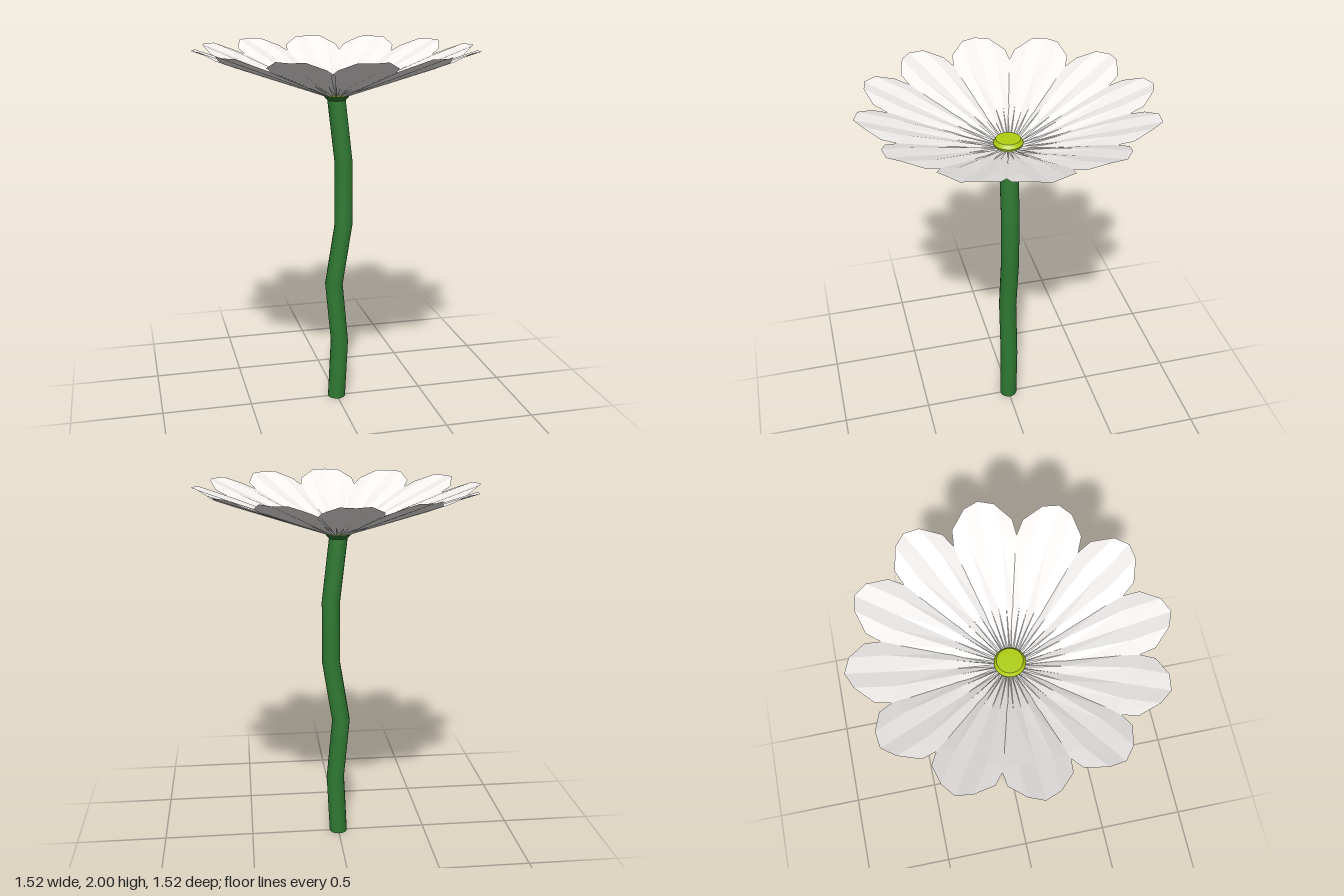
import * as THREE from 'three';
import { toCreasedNormals } from 'three/addons/utils/BufferGeometryUtils.js';

const green = new THREE.MeshStandardMaterial({ color: 0x2f7a33 });
const yellow = new THREE.MeshStandardMaterial({ color: 0xb0d010 });
const white = new THREE.MeshStandardMaterial({ color: 0xf4f1ef, flatShading: true, side: THREE.DoubleSide });

function addMesh(parent, name, geometry, material) {
  const mesh = new THREE.Mesh(geometry, material);
  mesh.name = name;
  parent.add(mesh);
  return mesh;
}

// Stem: a cylinder whose rings are shifted sideways
function stemGeometry() {
  const height = 1.725;
  const shifts = [0, 0.017, -0.015, 0.04, 0.04, 0];
  const geometry = new THREE.CylinderGeometry(0.05, 0.05, height, 16, 5);
  geometry.translate(0, height / 2, 0);
  const pos = geometry.attributes.position;
  for (let i = 0; i < pos.count; i++) {
    const ring = Math.round((pos.getY(i) / height) * 5);
    pos.setX(i, pos.getX(i) + shifts[ring]);
  }
  return toCreasedNormals(geometry, 0.5);
}

// Petal: a pleated strip along +z, five columns wide, rising outwards
function petalGeometry() {
  const columns = [-1, -0.5, 0, 0.5, 1];
  // Each row: reach at centre, at the ridges, at the edges, and half width
  const rows = [
    [0.05, 0.05, 0.05, 0.014],
    [0.27, 0.27, 0.265, 0.078],
    [0.56, 0.56, 0.55, 0.158],
    [0.76, 0.73, 0.652, 0.148],
  ];
  const vertices = [];
  const indices = [];
  rows.forEach(([centre, ridge, edge, halfWidth]) => {
    columns.forEach((c) => {
      const reach = [centre, ridge, edge][Math.abs(c) * 2];
      const pleat = Math.abs(c) === 0.5 ? 0.011 : 0;
      vertices.push(c * halfWidth, 1.742 + (reach - 0.05) * 0.363 + pleat, reach);
    });
  });
  for (let r = 0; r < rows.length - 1; r++) {
    for (let c = 0; c < 4; c++) {
      const a = r * 5 + c;
      indices.push(a, a + 5, a + 6, a, a + 6, a + 1);
    }
  }
  const geometry = new THREE.BufferGeometry();
  geometry.setAttribute('position', new THREE.Float32BufferAttribute(vertices, 3));
  geometry.setIndex(indices);
  geometry.computeVertexNormals();
  return geometry;
}

export function createModel() {
  const flower = new THREE.Group();
  flower.name = 'flower';

  addMesh(flower, 'stem', stemGeometry(), green);

  // Flared cup between stem and petals
  const cup = new THREE.CylinderGeometry(0.072, 0.05, 0.025, 16);
  cup.translate(0, 1.7375, 0);
  addMesh(flower, 'cup', cup, green);

  // Ring of twelve petals
  const petals = new THREE.Group();
  petals.name = 'petals';
  const petal = petalGeometry();
  for (let i = 0; i < 12; i++) {
    addMesh(petals, 'petal', petal, white).rotation.y = (i * Math.PI) / 6;
  }
  flower.add(petals);

  // Button-shaped centre with a bevelled rim
  const profile = [[0, 1.75], [0.07, 1.75], [0.077, 1.77], [0.064, 1.79], [0, 1.793]];
  const button = new THREE.LatheGeometry(profile.map(([x, y]) => new THREE.Vector2(x, y)), 32);
  addMesh(flower, 'centre', toCreasedNormals(button, 0.5), yellow);

  return flower;
}
